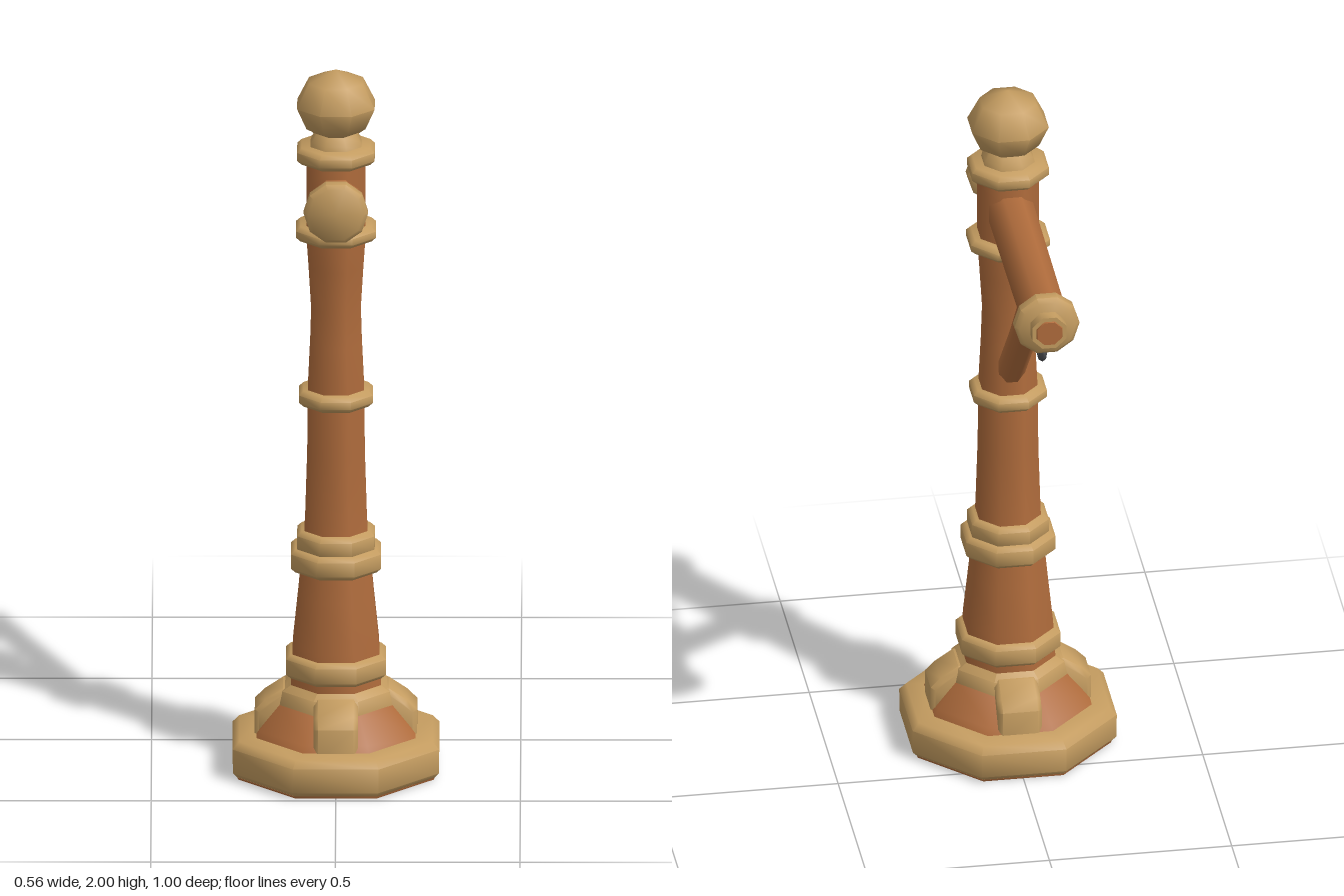
import * as THREE from 'three';
import { toCreasedNormals } from 'three/addons/utils/BufferGeometryUtils.js';

const mat = (name, color) => Object.assign(new THREE.MeshStandardMaterial({ color }), { name });

export function createModel() {
  const wood = mat('brown wood', 0xb06c3c);
  const pale = mat('pale wood', 0xc49c60);
  const iron = mat('dark iron', 0x4c4d50);
  const model = new THREE.Group();
  const POST_Z = 0.215, BEAM_Y = 1.65;

  function add(parent, name, geometry, material, crease = 0.9) {
    const mesh = new THREE.Mesh(toCreasedNormals(geometry, crease), material);
    mesh.name = name;
    parent.add(mesh);
    return mesh;
  }
  // Turned solid; radii are measured to the flats
  function turned(points, sides = 8) {
    const k = 1 / Math.cos(Math.PI / sides);
    const profile = points.map(([r, y]) => new THREE.Vector2(r * k, y));
    profile.unshift(new THREE.Vector2(0, points[0][1]));
    if (points.at(-1)[0] > 0) profile.push(new THREE.Vector2(0, points.at(-1)[1]));
    return new THREE.LatheGeometry(profile, sides, Math.PI / sides);
  }
  // Collar with softened edges
  const collar = (r, y0, y1, sides = 8, b = 0.012) =>
    turned([[r - b, y0], [r, y0 + b], [r, y1 - b], [r - b, y1]], sides);

  // Post
  const post = new THREE.Group();
  post.name = 'post';
  post.position.z = POST_Z;
  model.add(post);
  add(post, 'shaft', turned([
    [0.122, 0.25], [0.116, 0.36], [0.102, 0.5], [0.093, 0.6], [0.084, 0.7], [0.078, 0.9],
    [0.077, 1.07], [0.07, 1.22], [0.067, 1.32], [0.074, 1.44], [0.08, 1.53], [0.08, 1.76],
  ]), wood);

  // Base plate, brown underside and mound
  add(post, 'basePlate', turned([
    [0.265, 0.004], [0.279, 0.02], [0.28, 0.088], [0.262, 0.108], [0.2, 0.113],
  ]), pale);
  add(post, 'baseUnderside', turned([[0.265, 0], [0.267, 0.006]]), wood);
  add(post, 'baseMound', turned([[0.218, 0.108], [0.205, 0.13], [0.15, 0.2]]), wood);
  add(post, 'pedestal', turned([
    [0.155, 0.15], [0.152, 0.2], [0.145, 0.235], [0.115, 0.255], [0.11, 0.28],
  ]), pale);

  // Four buttresses around the foot
  const side = new THREE.Shape([
    [0.08, 0.1], [0.208, 0.1], [0.208, 0.175], [0.185, 0.198], [0.14, 0.228], [0.08, 0.228],
  ].map(([x, y]) => new THREE.Vector2(x, y)));
  for (let i = 0; i < 4; i++) {
    const g = new THREE.ExtrudeGeometry(side, {
      depth: 0.096, bevelEnabled: true, bevelSize: 0.012, bevelThickness: 0.012, bevelSegments: 1,
    });
    g.translate(0, 0, -0.048);
    add(post, 'buttress', g, pale).rotation.y = i * Math.PI / 2;
  }

  // Collars up the post
  for (const [r, y0, y1] of [
    [0.135, 0.27, 0.337], [0.122, 0.572, 0.637], [0.105, 0.625, 0.687],
    [0.1, 1.045, 1.09], [0.108, 1.52, 1.562], [0.105, 1.74, 1.787],
  ]) add(post, 'collar', collar(r, y0, y1), pale);

  // Finial ball
  add(post, 'finial', turned([
    [0.072, 1.775], [0.066, 1.8], [0.052, 1.822], [0.08, 1.84], [0.105, 1.9], [0.073, 1.968], [0, 2],
  ]), pale);

  // Cross beam with end caps, lying along z
  const beam = new THREE.Group();
  beam.name = 'beam';
  beam.position.y = BEAM_Y;
  beam.rotation.x = Math.PI / 2;
  model.add(beam);
  add(beam, 'beamShaft', turned([[0.058, -0.44], [0.06, 0.1], [0.062, 0.38]]), wood);
  add(beam, 'frontCap', collar(0.083, 0.358, 0.41, 10), pale);
  add(beam, 'rearCap', collar(0.085, -0.47, -0.42, 10), pale);
  add(beam, 'rearTip', turned([[0.047, -0.502], [0.047, -0.46]]), pale);
  add(beam, 'rearTipFace', turned([[0.034, -0.506], [0.036, -0.5]]), wood);

  // Diagonal brace
  const from = new THREE.Vector3(0, 1.13, 0.19), to = new THREE.Vector3(0, 1.64, -0.29);
  const dir = to.clone().sub(from);
  const brace = add(model, 'brace',
    turned([[0.036, 0], [0.036, dir.length() * 0.5], [0.042, dir.length()]]), wood);
  brace.position.copy(from);
  brace.quaternion.setFromUnitVectors(new THREE.Vector3(0, 1, 0), dir.normalize());

  // Hanging rings on short pegs
  for (const z of [0.025, -0.09, -0.362]) {
    const hanger = new THREE.Group();
    hanger.name = 'hanger';
    hanger.position.set(0, 1.528, z);
    model.add(hanger);
    add(hanger, 'peg', new THREE.CylinderGeometry(0.013, 0.013, 0.055, 6).translate(0, 0.05, 0), wood, 1.1);
    add(hanger, 'ring', new THREE.TorusGeometry(0.029, 0.011, 6, 12).rotateY(Math.PI / 2), iron, 1.1);
  }
  return model;
}
